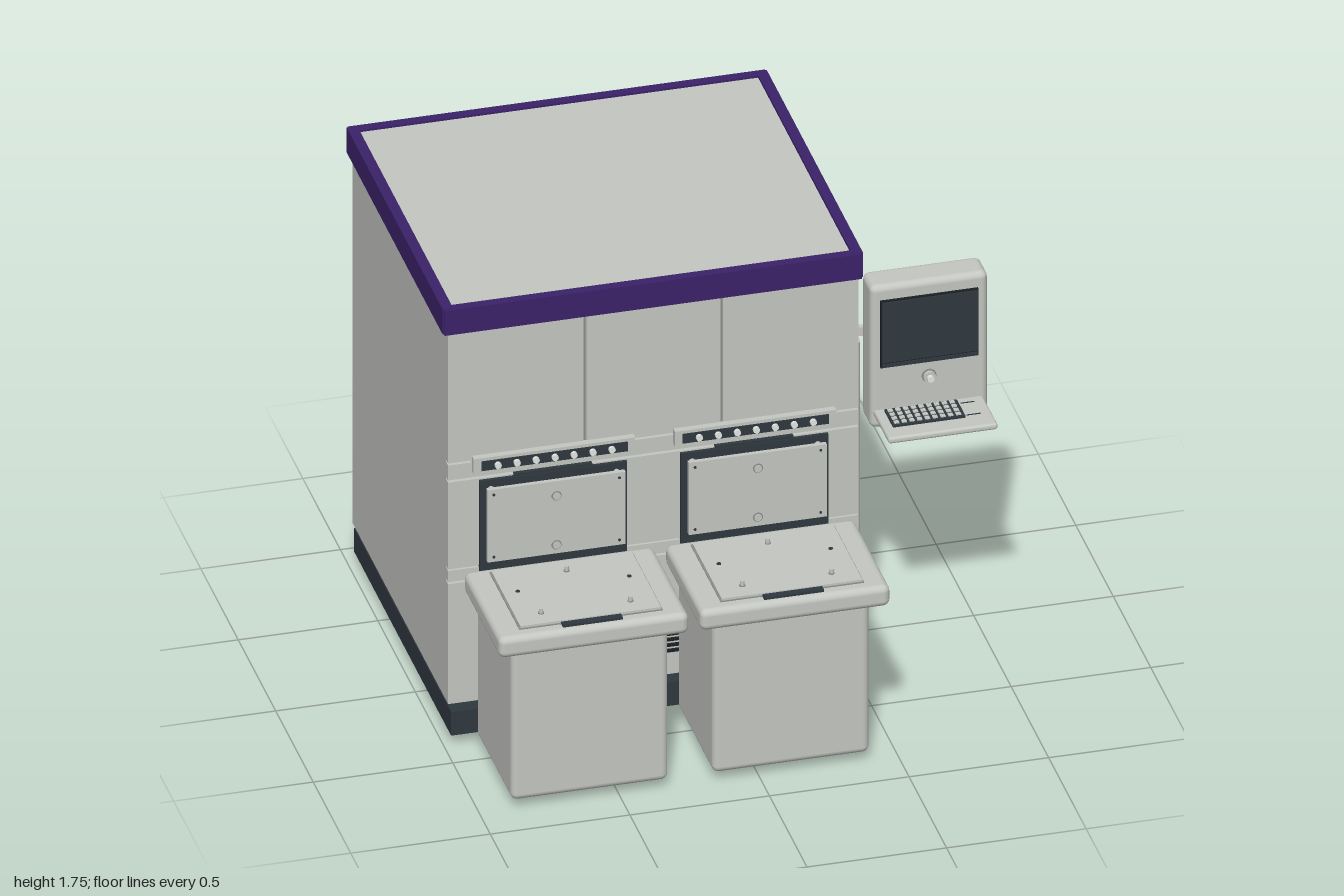
import * as THREE from 'three';
import { RoundedBoxGeometry } from 'three/addons/geometries/RoundedBoxGeometry.js';

const mat = (name, color) => {
  const m = new THREE.MeshStandardMaterial({ color });
  m.name = name;
  return m;
};

export function createModel() {
  const grey = mat('lightGrey', 0xc4c6c1);
  const seam = mat('seamGrey', 0x8b8e8a);
  const dark = mat('charcoal', 0x2f383f);
  const black = mat('nearBlack', 0x1b2024);
  const purple = mat('purple', 0x3b2269);
  const white = mat('buttonWhite', 0xe4e6e4);

  const model = new THREE.Group();
  model.name = 'processingMachine';
  const group = (name, x = 0) => {
    const g = new THREE.Group();
    g.name = name;
    g.position.x = x;
    model.add(g);
    return g;
  };
  const add = (parent, name, geo, m) => {
    const mesh = new THREE.Mesh(geo, m);
    mesh.name = name;
    parent.add(mesh);
    return mesh;
  };
  // Box given by its limits; a radius makes it rounded
  const box = (parent, name, m, x0, x1, y0, y1, z0, z1, r = 0) => {
    const s = [x1 - x0, y1 - y0, z1 - z0];
    const geo = r ? new RoundedBoxGeometry(...s, 3, r) : new THREE.BoxGeometry(...s);
    geo.translate((x0 + x1) / 2, (y0 + y1) / 2, (z0 + z1) / 2);
    return add(parent, name, geo, m);
  };
  // Cylinder centred at a point, along axis x, y or z
  const cyl = (parent, name, m, r, h, x, y, z, axis = 'y', sides = 20) => {
    const geo = new THREE.CylinderGeometry(r, r, h, sides);
    if (axis === 'z') geo.rotateX(Math.PI / 2);
    if (axis === 'x') geo.rotateZ(Math.PI / 2);
    geo.translate(x, y, z);
    return add(parent, name, geo, m);
  };

  // Plinth, feet and spacers
  const base = group('base');
  box(base, 'plinth', dark, -0.975, 0.487, 0.04, 0.135, -0.91, 0.385);
  for (const x of [-0.89, 0.405]) for (const z of [0.28, -0.8]) {
    cyl(base, 'foot', dark, 0.038, 0.04, x, 0.02, z);
    cyl(base, 'spacer', grey, 0.018, 0.03, x, 0.145, z);
  }

  // Cabinet core with panels on every side; the gaps form the seams
  const cabinet = group('cabinet');
  box(cabinet, 'core', seam, -0.965, 0.475, 0.158, 1.66, -0.895, 0.345);
  box(cabinet, 'backPanel', grey, -0.98, 0.49, 0.155, 1.65, -0.91, -0.89);
  box(cabinet, 'plainSidePanel', grey, -0.98, -0.96, 0.155, 1.65, -0.89, 0.335);
  const doors = [[-0.89, -0.063], [-0.05, 0.33]];
  for (const [z0, z1] of doors) box(cabinet, 'sideDoor', grey, 0.47, 0.49, 0.155, 1.65, z0, z1);
  for (const [x0, x1] of [[-0.98, -0.495], [-0.485, -0.005], [0.005, 0.49]])
    box(cabinet, 'upperFrontPanel', grey, x0, x1, 1.122, 1.65, 0.335, 0.363);
  for (const [y0, y1] of [[0.155, 0.637], [0.645, 0.69], [0.696, 1.045], [1.054, 1.114]])
    box(cabinet, 'lowerFrontPanel', grey, -0.98, 0.49, y0, y1, 0.335, 0.363);

  // Door hardware
  for (const z of [0.247, -0.065, -0.72]) for (const y of [1.472, 0.347]) {
    box(cabinet, 'hingeRim', seam, 0.488, 0.494, y - 0.029, y + 0.029, z - 0.017, z + 0.017);
    box(cabinet, 'hinge', grey, 0.488, 0.505, y - 0.025, y + 0.025, z - 0.013, z + 0.013);
  }
  for (const z of [0.197, -0.108, -0.692])
    box(cabinet, 'doorHandle', dark, 0.485, 0.508, 0.908, 1.032, z - 0.013, z + 0.013, 0.005);
  box(cabinet, 'doorLatch', dark, 0.48, 0.496, 0.51, 0.825, -0.067, -0.055);

  // Vent slats on the side and the front
  for (let i = 0; i < 8; i++) {
    const y = 0.258 + i * 0.0202;
    box(cabinet, 'sideVentSlat', black, 0.486, 0.495, y, y + 0.011, -0.67, -0.39);
  }
  for (let i = 0; i < 6; i++) {
    const y = 0.248 + i * 0.0222;
    box(cabinet, 'frontVentSlat', black, -0.385, -0.105, y, y + 0.009, 0.36, 0.374);
  }

  // Roof with a coloured rim
  const roof = group('roof');
  box(roof, 'roofPanel', grey, -0.97, 0.475, 1.65, 1.735, -0.895, 0.345);
  for (const [z0, z1] of [[-0.925, -0.89], [0.338, 0.373]])
    box(roof, 'rimLong', purple, -0.995, 0.5, 1.643, 1.743, z0, z1);
  for (const [x0, x1] of [[-1, -0.962], [0.467, 0.505]])
    box(roof, 'rimSide', purple, x0, x1, 1.645, 1.745, -0.917, 0.365);

  // Two identical stations: hatch, button bar and cart, built about their own centre line
  for (const cx of [-0.606, 0.115]) {
    const hatch = group('hatch', cx);
    box(hatch, 'hatchFrame', dark, -0.264, 0.264, 0.655, 1.04, 0.355, 0.376);
    box(hatch, 'hatchTopCatch', dark, -0.14, 0.14, 1.035, 1.05, 0.355, 0.372);
    box(hatch, 'hatchPlate', grey, -0.247, 0.247, 0.735, 1.025, 0.4, 0.417);
    for (const x of [-0.225, 0.225]) for (const y of [0.755, 1.005]) {
      cyl(hatch, 'hatchPost', grey, 0.012, 0.03, x, y, 0.388, 'z', 12);
      cyl(hatch, 'hatchScrew', dark, 0.005, 0.006, x, y, 0.417, 'z', 10);
    }
    for (const y of [0.77, 0.967]) {
      cyl(hatch, 'boltRim', seam, 0.018, 0.005, 0, y, 0.417, 'z');
      cyl(hatch, 'bolt', grey, 0.014, 0.012, 0, y, 0.417, 'z');
    }

    const bar = group('buttonBar', cx);
    box(bar, 'barHousing', grey, -0.289, 0.289, 1.08, 1.14, 0.36, 0.388);
    box(bar, 'barInset', dark, -0.262, 0.262, 1.09, 1.128, 0.384, 0.391);
    for (let i = -3; i <= 3; i++)
      cyl(bar, 'button', white, 0.012, 0.016, i * 0.068, 1.109, 0.395, 'z', 12);

    const cart = group('cart', cx);
    box(cart, 'cartBody', grey, -0.281, 0.281, 0.035, 0.675, 0.39, 0.867, 0.025);
    box(cart, 'cartTop', grey, -0.34, 0.34, 0.647, 0.73, 0.439, 0.926, 0.025);
    box(cart, 'lidSeam', seam, -0.257, 0.257, 0.725, 0.733, 0.476, 0.878);
    box(cart, 'lid', grey, -0.252, 0.252, 0.725, 0.741, 0.481, 0.873);
    box(cart, 'lidGrip', dark, -0.107, 0.107, 0.722, 0.739, 0.876, 0.902);
    for (const [x, z] of [[0, 0.55], [-0.16, 0.805], [0.16, 0.805]]) {
      cyl(cart, 'lidKnobRim', seam, 0.011, 0.006, x, 0.741, z, 'y', 12);
      cyl(cart, 'lidKnob', grey, 0.008, 0.022, x, 0.75, z, 'y', 12);
    }
    for (const x of [-0.2, 0.2]) cyl(cart, 'lidScrew', dark, 0.008, 0.006, x, 0.741, 0.643, 'y', 12);
  }

  // Operator terminal on a swing arm
  const terminal = group('terminal');
  box(terminal, 'mountPlate', dark, 0.485, 0.503, 1.095, 1.328, -0.123, 0.078);
  const arm = box(terminal, 'swingArm', grey, -0.16, 0.16, -0.017, 0.017, -0.01, 0.01);
  arm.position.set(0.653, 1.22, 0.035);
  arm.rotation.y = -Math.atan2(0.075, 0.3);
  box(terminal, 'housing', grey, 0.577, 0.998, 0.926, 1.497, 0.08, 0.203, 0.024);
  box(terminal, 'screenFrame', black, 0.61, 0.96, 1.175, 1.442, 0.195, 0.214);
  box(terminal, 'screen', dark, 0.614, 0.956, 1.197, 1.438, 0.21, 0.219);
  box(terminal, 'screenStrip', dark, 0.614, 0.956, 1.178, 1.191, 0.21, 0.219);
  cyl(terminal, 'stopButtonRim', seam, 0.026, 0.01, 0.785, 1.115, 0.203, 'z');
  cyl(terminal, 'stopButtonCollar', grey, 0.022, 0.03, 0.785, 1.115, 0.206, 'z');
  cyl(terminal, 'stopButton', white, 0.012, 0.046, 0.785, 1.115, 0.212, 'z');
  box(terminal, 'keyboardTray', grey, 0.588, 0.98, 0.978, 1.003, 0.19, 0.4, 0.01);
  box(terminal, 'keyboard', dark, 0.622, 0.882, 1.0, 1.01, 0.215, 0.332);
  for (let r = 0; r < 4; r++) for (let c = 0; c < 9; c++) {
    const x = 0.63 + c * 0.0277, z = 0.222 + r * 0.0272;
    box(terminal, 'key', grey, x, x + 0.018, 1.008, 1.014, z, z + 0.017);
  }
  for (const z of [0.232, 0.315])
    box(terminal, 'trayMark', dark, 0.89, 0.94, 1.0, 1.005, z, z + 0.004);

  // Free-standing post beside the cabinet
  const post = group('post');
  cyl(post, 'postTube', grey, 0.033, 0.99, 0.617, 0.545, -0.216, 'y', 32);

  return model;
}
